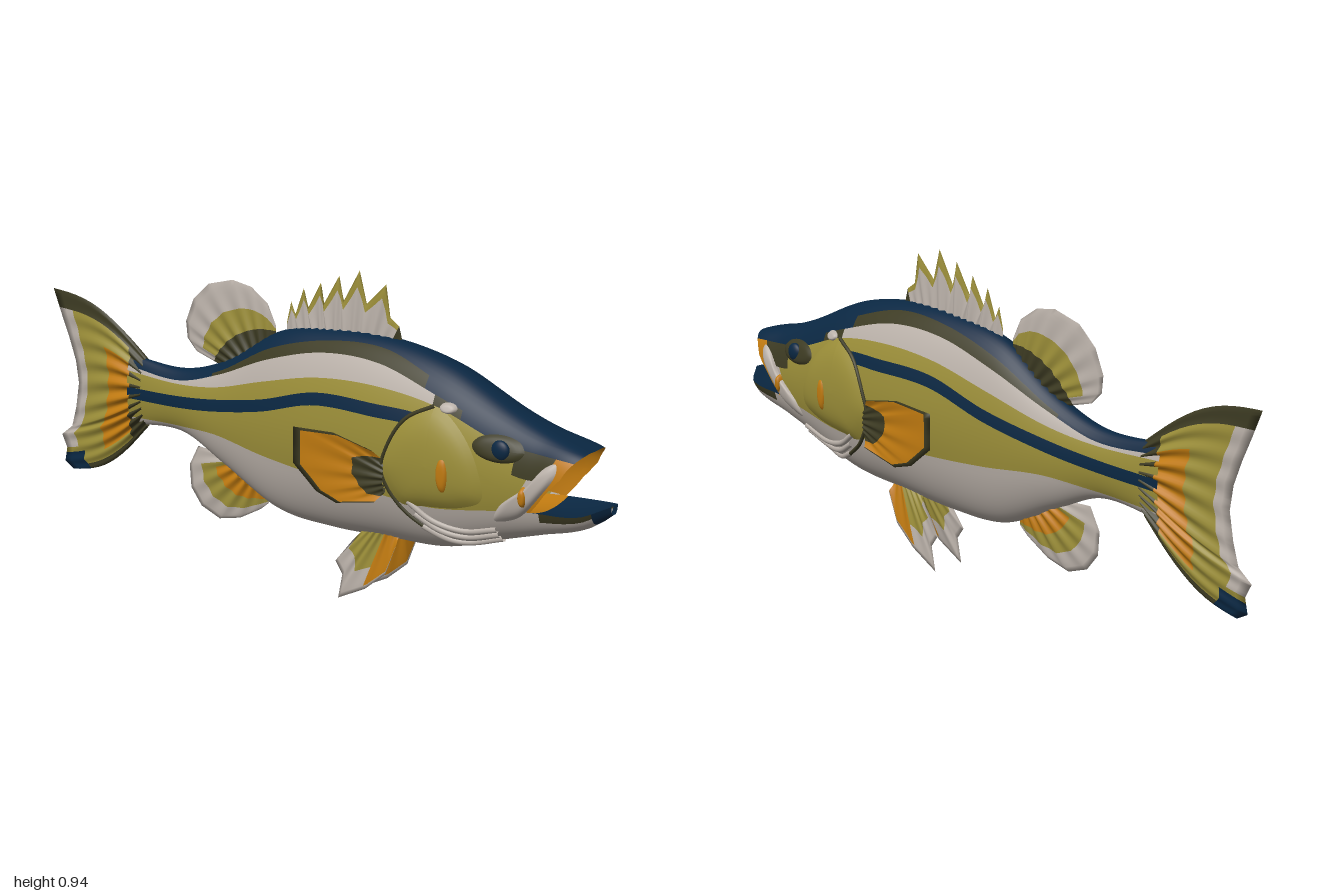
import * as THREE from 'three';

const mat = (name, color) => {
  const m = new THREE.MeshStandardMaterial({ color, side: THREE.DoubleSide });
  m.name = name;
  return m;
};
const MATS = [
  mat('navy', 0x0a2742), mat('darkOlive', 0x3c3a22), mat('silver', 0xb9b0a8),
  mat('oliveYellow', 0x9a8d38), mat('orange', 0xc07a10),
];
const [NAVY, DARK, SILVER, YELLOW, ORANGE] = [0, 1, 2, 3, 4];
const lerp = THREE.MathUtils.lerp;

// Smooth interpolation of a table
const XS = [-0.68, -0.47, -0.3, -0.1, 0.1, 0.3, 0.5, 0.7, 0.8, 0.94, 1.0];
function at(tab, x) {
  const n = XS.length, slope = (i) => {
    const a = Math.max(i - 1, 0), b = Math.min(i + 1, n - 1);
    return (tab[b] - tab[a]) / (XS[b] - XS[a]);
  };
  let i = 0;
  while (i < n - 2 && x > XS[i + 1]) i++;
  const d = XS[i + 1] - XS[i], t = THREE.MathUtils.clamp((x - XS[i]) / d, 0, 1);
  const t2 = t * t, t3 = t2 * t;
  return (2 * t3 - 3 * t2 + 1) * tab[i] + (t3 - 2 * t2 + t) * d * slope(i)
    + (3 * t2 - 2 * t3) * tab[i + 1] + (t3 - t2) * d * slope(i + 1);
}

// Heights of the colour band borders, from the back down to the belly
const BORDERS = [
  [0.56, 0.555, 0.61, 0.73, 0.77, 0.775, 0.74, 0.655, 0.62, 0.585, 0.56],
  [0.535, 0.53, 0.585, 0.69, 0.745, 0.755, 0.70, 0.63, 0.60, 0.58, 0.55],
  [0.53, 0.525, 0.575, 0.66, 0.715, 0.72, 0.67, 0.605, 0.585, 0.572, 0.54],
  [0.515, 0.515, 0.54, 0.60, 0.65, 0.665, 0.645, 0.58, 0.57, 0.56, 0.53],
  [0.465, 0.48, 0.505, 0.55, 0.61, 0.62, 0.61, 0.52, 0.50, 0.53, 0.51],
  [0.43, 0.445, 0.47, 0.515, 0.575, 0.585, 0.575, 0.47, 0.46, 0.49, 0.48],
  [0.37, 0.385, 0.40, 0.385, 0.375, 0.37, 0.365, 0.395, 0.41, 0.425, 0.45],
  [0.345, 0.36, 0.29, 0.20, 0.19, 0.205, 0.225, 0.295, 0.33, 0.38, 0.425],
];
const WIDTH = [0.025, 0.045, 0.07, 0.10, 0.12, 0.13, 0.125, 0.105, 0.095, 0.085, 0.02];
const POWER = [1, 1, 1.05, 1.1, 1.1, 1.1, 1, 0.85, 0.7, 0.5, 0.6];
const LIP = [0, 0.03, 0.08, 0.15, 0.35, 0.68, 1];

function angle(x, y) {
  const top = at(BORDERS[0], x), low = at(BORDERS[7], x);
  return Math.acos(THREE.MathUtils.clamp((2 * y - top - low) / (top - low), -1, 1));
}
const flank = (x, y) => at(WIDTH, x) * Math.pow(Math.max(Math.sin(angle(x, y)), 0), at(POWER, x));

// Skin point: s runs along the body, a (0 to 7) counts the borders from back to belly
function skin(s, a, side, upper) {
  const b = Math.min(Math.floor(a), 6), f = a - b;
  const end = upper ? 0.94 - 0.14 * (b >= 6 ? 1 : lerp(LIP[b], LIP[b + 1], f)) : 1;
  const x = s <= 0.7 ? s : 0.7 + (s - 0.7) / 0.3 * (end - 0.7);
  const th = lerp(angle(x, at(BORDERS[b], x)), angle(x, at(BORDERS[b + 1], x)), f);
  const top = at(BORDERS[0], x), low = at(BORDERS[7], x);
  const z = at(WIDTH, x) * Math.pow(Math.max(Math.sin(th), 0), at(POWER, x));
  return [x, (top + low) / 2 + (top - low) / 2 * Math.cos(th), side * z];
}

// Grid surface with one material group per colour
function grid(name, nu, nv, point, colour) {
  const pos = [], faces = MATS.map(() => []);
  for (let i = 0; i <= nu; i++) for (let j = 0; j <= nv; j++) pos.push(...point(i / nu, j / nv));
  for (let i = 0; i < nu; i++) for (let j = 0; j < nv; j++) {
    const a = i * (nv + 1) + j, c = a + nv + 1;
    faces[colour((i + 0.5) / nu, (j + 0.5) / nv)].push(a, a + 1, c + 1, a, c + 1, c);
  }
  const g = new THREE.BufferGeometry();
  g.setAttribute('position', new THREE.Float32BufferAttribute(pos, 3));
  g.setIndex(faces.flat());
  let start = 0;
  faces.forEach((f, m) => {
    if (f.length) g.addGroup(start, f.length, m);
    start += f.length;
  });
  g.computeVertexNormals();
  const mesh = new THREE.Mesh(g, MATS);
  mesh.name = name;
  return mesh;
}

// Fin: a tapering ribbed blade between a root line and an outer edge
function fin(name, root, edge, o, colour) {
  const along = (pts, u) => {
    const k = u * (pts.length - 1), i = Math.min(Math.floor(k), pts.length - 2);
    return [0, 1].map((c) => lerp(pts[i][c], pts[i + 1][c], k - i));
  };
  const nu = (edge.length - 1) * 8;
  return grid(name, nu, 24, (u, q) => {
    const v = 1 - Math.abs(1 - 2 * q), r = along(root, u), e = along(edge, u);
    const thick = o.thick * (1 - v) ** 0.6 * Math.sqrt(Math.max(Math.sin(Math.PI * u), 0))
      * (1 + 0.3 * Math.cos(u * nu * Math.PI / 4));
    return [lerp(r[0], e[0], v), lerp(r[1], e[1], v) + (o.bow || 0) * Math.sin(Math.PI * v) * (1 - 2 * u),
      (o.z ? o.z(v) : 0) + (q < 0.5 ? thick : -thick)];
  }, (u, q) => colour(u, 1 - Math.abs(1 - 2 * q)));
}

// Domed plate lying on the flank
function plate(name, pts, off, m, side) {
  const curve = new THREE.CatmullRomCurve3(pts.map(([x, y]) => new THREE.Vector3(x, y, 0)), true);
  const cx = pts.reduce((t, p) => t + p[0], 0) / pts.length;
  const cy = pts.reduce((t, p) => t + p[1], 0) / pts.length;
  return grid(name, 48, 8, (u, v) => {
    const p = curve.getPoint(u), x = lerp(cx, p.x, v), y = lerp(cy, p.y, v);
    return [x, y, side * (flank(x, y) + off * (1 - v ** 5))];
  }, () => m);
}
const oval = (x, y, rx, ry) => Array.from({ length: 10 }, (_, i) =>
  [x + rx * Math.cos(i * Math.PI / 5), y + ry * Math.sin(i * Math.PI / 5)]);

// Raised line lying on the flank
function line(name, pts, r, m, side) {
  const flat = new THREE.CatmullRomCurve3(pts.map(([x, y]) => new THREE.Vector3(x, y, 0)));
  const path = flat.getPoints(16).map((p) => p.setZ(side * flank(p.x, p.y)));
  const mesh = new THREE.Mesh(new THREE.TubeGeometry(new THREE.CatmullRomCurve3(path), 32, r, 8), MATS[m]);
  mesh.name = name;
  return mesh;
}

export function createModel() {
  const fish = new THREE.Group();
  fish.name = 'fish';
  const S = (u) => lerp(-0.68, 1, u);

  // Body and head down to the mouth line, then the belly and lower jaw
  const bands = [NAVY, DARK, SILVER, YELLOW, NAVY, YELLOW];
  fish.add(grid('upperBody', 96, 72, (u, v) => {
    const q = v * 12 - 6;
    return skin(S(u), Math.abs(q), q < 0 ? -1 : 1, true);
  }, (u, v) => {
    const s = S(u), b = Math.floor(Math.abs(v * 12 - 6));
    if (s > 0.93 && b >= 3) return ORANGE;
    if (s > 0.84 && b >= 4) return SILVER;
    if (b === 1) return s < -0.33 || s > 0.45 ? NAVY : DARK;
    if (b === 2 && s > 0.5) return s > 0.58 ? NAVY : DARK;
    if (b === 3 && s > 0.78) return DARK;
    if (b === 4 && s > 0.5) return YELLOW;
    return bands[b];
  }));
  fish.add(grid('bellyAndLowerJaw', 96, 28, (u, v) => {
    const q = 6 + 2 * v;
    return skin(S(u), q <= 7 ? q : 14 - q, q <= 7 ? 1 : -1, false);
  }, (u, v) => {
    const rim = Math.min(v, 1 - v) < 0.12;
    return S(u) > 0.97 ? NAVY : S(u) > 0.82 && rim ? DARK : SILVER;
  }));

  // Mouth lining and floor
  fish.add(grid('mouthLining', 48, 10, (u, v) => {
    const q = u * 12 - 6, p = skin(1, Math.abs(q), q < 0 ? -1 : 1, true), k = Math.sqrt(1 - v * v);
    return [lerp(p[0], 0.66, v), 0.46 + (p[1] - 0.46) * k, p[2] * k];
  }, () => ORANGE));
  fish.add(grid('mouthFloor', 16, 12, (u, v) => {
    const p = skin(lerp(0.72, 1, u), 6, 1, false), t = 2 * v - 1;
    return [p[0], p[1] - 0.02 * (1 - t * t) * (1 - u), p[2] * t];
  }, (u) => (u < 0.3 ? ORANGE : NAVY)));

  // Tail fin
  fish.add(fin('tailFin', [[-0.62, 0.56], [-0.62, 0.345]],
    [[-1, 0.715], [-0.97, 0.64], [-0.94, 0.57], [-0.915, 0.5], [-0.905, 0.43], [-0.92, 0.35],
      [-0.94, 0.285], [-0.985, 0.25], [-0.965, 0.21], [-0.975, 0.165], [-0.94, 0.145]],
    { thick: 0.026, bow: 0.045 }, (u, v) => {
      if (u > 0.84 && v > 0.75) return NAVY;
      if (v < 0.15 || u < 0.08 || u > 0.95) return DARK;
      if (v < 0.48 && u > 0.2 && u < 0.88) return ORANGE;
      return v < 0.8 || u > 0.8 ? YELLOW : SILVER;
    }));

  // Dorsal and anal fins
  fish.add(fin('spinyDorsalFin', [[-0.08, 0.73], [0.1, 0.76], [0.32, 0.765]],
    [[-0.08, 0.76], [-0.065, 0.82], [-0.05, 0.785], [-0.02, 0.865], [-0.005, 0.81], [0.04, 0.89],
      [0.05, 0.83], [0.105, 0.92], [0.12, 0.85], [0.175, 0.945], [0.2, 0.855], [0.265, 0.92],
      [0.28, 0.83], [0.31, 0.81], [0.32, 0.775]],
    { thick: 0.012 }, (u, v) => (u > 0.93 ? DARK : v > 0.75 ? YELLOW : SILVER)));
  fish.add(fin('softDorsalFin', [[-0.33, 0.59], [-0.22, 0.65], [-0.12, 0.72]],
    [[-0.42, 0.615], [-0.455, 0.65], [-0.46, 0.7], [-0.43, 0.77], [-0.37, 0.825], [-0.28, 0.85],
      [-0.21, 0.84], [-0.15, 0.8], [-0.12, 0.74]],
    { thick: 0.014 }, (u, v) => (v < 0.25 ? DARK : v < 0.55 && u > 0.12 ? YELLOW : SILVER)));
  fish.add(fin('analFin', [[-0.33, 0.32], [-0.24, 0.26], [-0.15, 0.22]],
    [[-0.42, 0.325], [-0.455, 0.26], [-0.45, 0.19], [-0.41, 0.14], [-0.34, 0.115], [-0.26, 0.135],
      [-0.18, 0.18], [-0.15, 0.205]],
    { thick: 0.014 }, (u, v) => (v < 0.35 && u > 0.2 ? ORANGE : v < 0.65 && u > 0.15 ? YELLOW : SILVER)));

  for (const side of [1, -1]) {
    const tag = side > 0 ? 'right' : 'left';
    const n = (part) => `${tag}${part}`;
    // Paired fins
    fish.add(fin(n('PelvicFin'), [[0.22, 0.22], [0.34, 0.225]],
      [[0.2, 0.19], [0.135, 0.11], [0.16, 0.075], [0.145, 0], [0.24, 0.05], [0.31, 0.11], [0.345, 0.2]],
      { thick: 0.01, z: (v) => side * lerp(0.03, 0.052, v) },
      (u, v) => (u > 0.65 && v < 0.95 ? ORANGE : v < 0.6 ? YELLOW : SILVER)));
    fish.add(fin(n('PectoralFin'), [[0.36, 0.47], [0.36, 0.38]],
      [[0.33, 0.5], [0.2, 0.525], [0.06, 0.515], [0.06, 0.41], [0.14, 0.345], [0.21, 0.325], [0.34, 0.355]],
      { thick: 0.009, z: (v) => side * lerp(0.128, 0.148, v) },
      (u, v) => (v < 0.3 || v > 0.95 ? DARK : ORANGE)));

    // Gill cover, throat folds and cheek
    fish.add(plate(n('GillCover'), [[0.5, 0.645], [0.42, 0.6], [0.37, 0.52], [0.35, 0.44], [0.4, 0.36],
      [0.48, 0.365], [0.6, 0.385], [0.66, 0.42], [0.64, 0.52], [0.58, 0.6]], 0.014, YELLOW, side));
    fish.add(line(n('GillEdge'), [[0.5, 0.645], [0.42, 0.6], [0.37, 0.52], [0.35, 0.44], [0.4, 0.35],
      [0.48, 0.29]], 0.006, DARK, side));
    for (let i = 0; i < 3; i++) {
      const d = i * 0.035;
      fish.add(line(n('ThroatFold'), [[0.43 + d / 2, 0.37 - d], [0.5 + d / 2, 0.325 - d * 0.8],
        [0.59, 0.31 - d * 0.6], [0.69, 0.335 - d * 0.5]], 0.009, SILVER, side));
    }
    fish.add(plate(n('CheekSpot'), oval(0.55, 0.47, 0.022, 0.06), 0.019, ORANGE, side));
    fish.add(plate(n('GillSpot'), oval(0.54, 0.645, 0.025, 0.014), 0.01, SILVER, side));

    // Upper lip plate
    fish.add(plate(n('LipPlate'), [[0.87, 0.555], [0.875, 0.53], [0.83, 0.46], [0.76, 0.385], [0.69, 0.365],
      [0.71, 0.41], [0.79, 0.48], [0.84, 0.54]], 0.012, SILVER, side));
    fish.add(plate(n('LipSpot'), oval(0.785, 0.45, 0.014, 0.03), 0.018, ORANGE, side));

    // Eye in its socket
    fish.add(plate(n('EyeSocket'), oval(0.7, 0.565, 0.075, 0.035), 0.009, DARK, side));
    const eye = new THREE.Mesh(new THREE.SphereGeometry(0.028, 24, 16), MATS[NAVY]);
    eye.name = n('Eye');
    eye.scale.z = 0.5;
    eye.position.set(0.71, 0.563, side * (flank(0.71, 0.563) + 0.004));
    fish.add(eye);
  }
  return fish;
}
